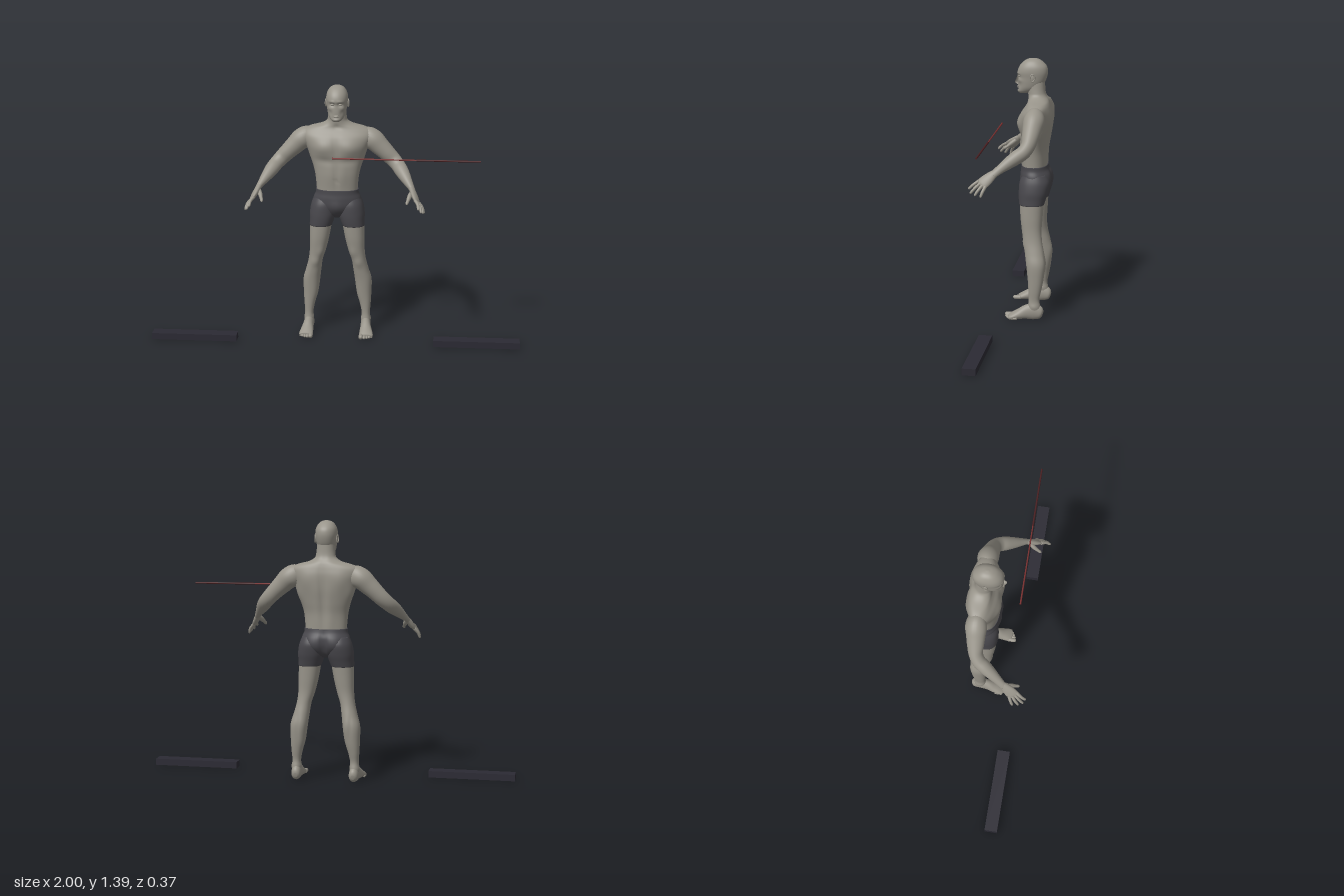
import * as THREE from 'three';

const paint = (name, color) => {
  const m = new THREE.MeshStandardMaterial({ color });
  m.name = name;
  return m;
};

// Catmull-Rom blend between the rows of a profile
function refine(rows, sub) {
  const out = [];
  for (let i = 0; i < rows.length - 1; i++) {
    const a = rows[Math.max(i - 1, 0)], b = rows[i], c = rows[i + 1], d = rows[Math.min(i + 2, rows.length - 1)];
    for (let k = 0; k < sub; k++) {
      const t = k / sub;
      out.push(b.map((_, j) => 0.5 * (2 * b[j] + (c[j] - a[j]) * t
        + (2 * a[j] - 5 * b[j] + 4 * c[j] - d[j]) * t * t + (3 * b[j] - a[j] - 3 * c[j] + d[j]) * t * t * t)));
    }
  }
  out.push(rows[rows.length - 1]);
  return out;
}

// Skin closed rings of n points, with both ends capped
function skinRings(rings) {
  const n = rings[0].length, pos = [], index = [];
  rings.forEach(r => r.forEach(p => pos.push(p.x, p.y, p.z)));
  for (let i = 0; i < rings.length - 1; i++) {
    for (let j = 0; j < n; j++) {
      const a = i * n + j, b = i * n + (j + 1) % n;
      index.push(a, b, a + n, b, b + n, a + n);
    }
  }
  [0, rings.length - 1].forEach((r, end) => {
    const c = new THREE.Vector3();
    rings[r].forEach(p => c.addScaledVector(p, 1 / n));
    const id = pos.length / 3;
    pos.push(c.x, c.y, c.z);
    for (let j = 0; j < n; j++) {
      const a = r * n + j, b = r * n + (j + 1) % n;
      if (end) index.push(a, b, id); else index.push(b, a, id);
    }
  });
  const g = new THREE.BufferGeometry();
  g.setAttribute('position', new THREE.Float32BufferAttribute(pos, 3));
  g.setIndex(index);
  g.computeVertexNormals();
  return g;
}

// Upright loft: rows are [y, centre x, half width, front z, back z]
function loft(rows, { n = 36, sub = 5, power = 0.9 } = {}) {
  const round = v => Math.sign(v) * Math.abs(v) ** power;
  return skinRings(refine(rows, sub).map(([y, cx, hw, zf, zb]) => Array.from({ length: n }, (_, j) => {
    const a = j / n * Math.PI * 2;
    return new THREE.Vector3(cx + hw * round(Math.sin(a)), y, (zf + zb) / 2 + (zf - zb) / 2 * round(Math.cos(a)));
  })));
}

// Limb along a path: rows are [x, y, z, radius along ref, radius across]
function limb(rows, ref, n = 20, sub = 4) {
  const rs = refine(rows, sub), up = new THREE.Vector3(...ref);
  const at = i => new THREE.Vector3(...rs[THREE.MathUtils.clamp(i, 0, rs.length - 1)].slice(0, 3));
  return skinRings(rs.map((r, i) => {
    const t = at(i + 1).sub(at(i - 1)).normalize();
    const u = up.clone().addScaledVector(t, -up.dot(t)).normalize(), v = t.clone().cross(u);
    return Array.from({ length: n }, (_, j) => {
      const a = j / n * Math.PI * 2;
      return at(i).addScaledVector(u, r[3] * Math.cos(a)).addScaledVector(v, r[4] * Math.sin(a));
    });
  }));
}

// Soft bumps mirrored in x: [x, y, z, rx, ry, rz, height along the normal]
function sculpt(g, bumps) {
  const p = g.attributes.position, q = g.attributes.normal;
  for (let i = 0; i < p.count; i++) {
    let h = 0;
    for (const [x, y, z, rx, ry, rz, k] of bumps) {
      h += k * Math.exp(-(((Math.abs(p.getX(i)) - x) / rx) ** 2) - ((p.getY(i) - y) / ry) ** 2 - ((p.getZ(i) - z) / rz) ** 2);
    }
    p.setXYZ(i, p.getX(i) + q.getX(i) * h, p.getY(i) + q.getY(i) * h, p.getZ(i) + q.getZ(i) * h);
  }
  g.computeVertexNormals();
  return g;
}

function flatSole(g) {
  const p = g.attributes.position;
  for (let i = 0; i < p.count; i++) p.setY(i, Math.max(0, p.getY(i)));
  g.computeVertexNormals();
  return g;
}

function mirror(g) {
  const m = g.clone().scale(-1, 1, 1), ix = m.index.array;
  for (let i = 0; i < ix.length; i += 3) [ix[i], ix[i + 1]] = [ix[i + 1], ix[i]];
  m.computeVertexNormals();
  return m;
}

const ball = (x, y, z, rx, ry, rz) => new THREE.SphereGeometry(1, 16, 12).scale(rx, ry, rz).translate(x, y, z);

export function createModel() {
  const model = new THREE.Group();
  model.name = 'athlete';
  const skin = paint('skin', 0x98948a), cloth = paint('shorts cloth', 0x48474c);
  const barPaint = paint('dark bar', 0x2b2a33), wood = paint('red wood', 0x7a3030), gripPaint = paint('dark grip', 0x4a2022);
  const add = (name, g, mat = skin) => {
    const m = new THREE.Mesh(g, mat);
    m.name = name;
    model.add(m);
  };
  const pair = (name, g, mat) => {
    add(name + 'Left', g, mat);
    add(name + 'Right', mirror(g), mat);
  };

  // Torso and neck, with chest, belly, shoulder blades and spine
  add('torso', sculpt(loft([
    [0.79, 0, 0.11, -0.022, -0.155], [0.83, 0, 0.111, -0.02, -0.155], [0.9, 0, 0.118, -0.014, -0.158],
    [0.96, 0, 0.132, -0.014, -0.17], [1.02, 0, 0.152, -0.01, -0.18], [1.07, 0, 0.172, -0.01, -0.183],
    [1.11, 0, 0.188, -0.022, -0.182], [1.14, 0, 0.185, -0.042, -0.176], [1.16, 0, 0.15, -0.052, -0.17],
    [1.176, 0, 0.09, -0.054, -0.163], [1.195, 0, 0.058, -0.053, -0.15], [1.22, 0, 0.05, -0.05, -0.143],
    [1.27, 0, 0.046, -0.045, -0.14]], { n: 64, sub: 6 }), [
    [0.07, 1.055, -0.01, 0.05, 0.04, 0.05, 0.012], [0, 1.06, -0.01, 0.014, 0.06, 0.04, -0.005],
    [0.06, 0.985, -0.01, 0.07, 0.02, 0.04, -0.006], [0, 0.89, -0.01, 0.008, 0.09, 0.03, -0.004],
    [0.035, 0.92, -0.01, 0.02, 0.07, 0.03, 0.003], [0, 0.875, -0.014, 0.007, 0.008, 0.03, -0.004],
    [0, 1.0, -0.18, 0.018, 0.15, 0.04, -0.014], [0.09, 1.08, -0.18, 0.04, 0.05, 0.04, 0.006],
    [0.035, 0.87, -0.16, 0.025, 0.07, 0.03, 0.004], [0.14, 1.0, -0.13, 0.03, 0.05, 0.04, 0.006],
    [0, 1.165, -0.05, 0.014, 0.014, 0.03, -0.006]]));

  // Head with sockets, brows, cheeks and mouth
  add('head', sculpt(loft([
    [1.205, 0, 0.02, -0.006, -0.05], [1.216, 0, 0.034, 0.002, -0.085], [1.235, 0, 0.045, 0.002, -0.115],
    [1.26, 0, 0.051, 0.002, -0.138], [1.29, 0, 0.055, 0.001, -0.151], [1.32, 0, 0.058, 0.004, -0.156],
    [1.348, 0, 0.054, -0.006, -0.15], [1.372, 0, 0.041, -0.027, -0.128], [1.385, 0, 0.024, -0.05, -0.106],
    [1.39, 0, 0.004, -0.072, -0.085]], { n: 72, sub: 6 }), [
    [0.021, 1.296, 0, 0.012, 0.009, 0.04, -0.01], [0.02, 1.312, 0, 0.016, 0.006, 0.03, 0.004],
    [0.034, 1.275, -0.01, 0.012, 0.01, 0.03, 0.003], [0.03, 1.25, -0.005, 0.012, 0.018, 0.03, -0.003],
    [0, 1.215, 0, 0.018, 0.009, 0.03, 0.003], [0, 1.226, 0, 0.016, 0.005, 0.03, -0.003]]));
  add('nose', loft([[1.308, 0, 0.006, 0.004, -0.02], [1.285, 0, 0.007, 0.01, -0.02],
    [1.262, 0, 0.012, 0.019, -0.02], [1.252, 0, 0.012, 0.011, -0.02], [1.249, 0, 0.005, 0.003, -0.02]], { n: 16, power: 1 }));
  add('upperLip', ball(0, 1.241, 0, 0.016, 0.0035, 0.007));
  add('lowerLip', ball(0, 1.234, 0, 0.014, 0.004, 0.007));
  pair('eye', ball(0.021, 1.296, -0.009, 0.01, 0.006, 0.007));
  pair('ear', ball(0.055, 1.292, -0.082, 0.006, 0.021, 0.013).rotateY(0));
  pair('earRim', new THREE.TorusGeometry(0.012, 0.003, 8, 20).scale(1, 1.55, 1).rotateY(Math.PI / 2 + 0.25).translate(0.06, 1.293, -0.083));

  // Shorts
  add('shortsSeat', sculpt(loft([
    [0.665, 0, 0.02, -0.055, -0.12], [0.69, 0, 0.09, -0.032, -0.155], [0.73, 0, 0.13, -0.016, -0.176],
    [0.77, 0, 0.129, -0.014, -0.176], [0.8, 0, 0.117, -0.017, -0.164], [0.822, 0, 0.115, -0.018, -0.159]], { n: 56 }), [
    [0.065, 0.735, -0.175, 0.045, 0.05, 0.04, 0.009], [0, 0.73, -0.175, 0.014, 0.06, 0.05, -0.016],
    [0, 0.725, -0.015, 0.03, 0.035, 0.03, 0.008]]));
  model.children[model.children.length - 1].material = cloth;
  pair('shortsLeg', loft([
    [0.62, 0.089, 0.061, -0.018, -0.151], [0.65, 0.083, 0.066, -0.015, -0.16], [0.69, 0.077, 0.072, -0.014, -0.172],
    [0.74, 0.072, 0.068, -0.018, -0.178], [0.78, 0.066, 0.058, -0.035, -0.16]]), cloth);

  // Legs: thigh, knee, calf and ankle
  pair('leg', sculpt(loft([
    [0.04, 0.157, 0.024, -0.07, -0.146], [0.075, 0.158, 0.024, -0.076, -0.142], [0.11, 0.157, 0.023, -0.08, -0.137],
    [0.16, 0.154, 0.03, -0.078, -0.147], [0.22, 0.147, 0.04, -0.073, -0.158], [0.3, 0.142, 0.046, -0.064, -0.166],
    [0.36, 0.13, 0.042, -0.055, -0.157], [0.42, 0.118, 0.039, -0.046, -0.145], [0.48, 0.105, 0.045, -0.036, -0.14],
    [0.55, 0.096, 0.053, -0.026, -0.144], [0.64, 0.087, 0.06, -0.022, -0.15]]), [
    [0.118, 0.41, -0.046, 0.02, 0.025, 0.03, 0.006], [0.09, 0.47, -0.045, 0.02, 0.03, 0.03, 0.005],
    [0.12, 0.3, -0.15, 0.018, 0.05, 0.03, 0.005], [0.142, 0.3, -0.166, 0.008, 0.06, 0.03, -0.003],
    [0.137, 0.075, -0.105, 0.02, 0.014, 0.02, 0.004], [0.18, 0.07, -0.11, 0.02, 0.014, 0.02, 0.004]]));

  // Feet and toes
  pair('foot', flatSole(limb([
    [0.156, 0.03, -0.156, 0.012, 0.01], [0.156, 0.033, -0.145, 0.032, 0.023], [0.157, 0.042, -0.11, 0.046, 0.027],
    [0.159, 0.038, -0.07, 0.04, 0.028], [0.162, 0.026, -0.03, 0.028, 0.034], [0.165, 0.016, 0.005, 0.018, 0.038],
    [0.166, 0.012, 0.024, 0.011, 0.034]], [0, 1, 0], 28)));
  [[0.138, 0.052, 0.012], [0.156, 0.048, 0.009], [0.17, 0.042, 0.008], [0.183, 0.034, 0.008], [0.195, 0.024, 0.007]]
    .forEach(([x, z, r], i) => pair('toe' + (i + 1), flatSole(limb([
      [x, r + 0.002, z - 0.045, r, r], [x, r + 0.001, z - 0.015, r, r], [x, r, z - 0.005, r * 0.85, r * 0.85],
      [x, r * 0.8, z, r * 0.2, r * 0.2]], [0, 1, 0], 12))));

  // Arms from the shoulder to the wrist
  pair('arm', limb([
    [0.12, 1.105, -0.112, 0.035, 0.03], [0.155, 1.103, -0.112, 0.056, 0.048], [0.192, 1.088, -0.11, 0.057, 0.056],
    [0.228, 1.055, -0.106, 0.051, 0.05], [0.265, 1.02, -0.102, 0.045, 0.044], [0.3, 0.985, -0.096, 0.041, 0.037],
    [0.328, 0.957, -0.076, 0.038, 0.036], [0.347, 0.936, -0.045, 0.037, 0.036], [0.368, 0.911, -0.008, 0.031, 0.031],
    [0.39, 0.884, 0.03, 0.022, 0.024], [0.405, 0.865, 0.055, 0.016, 0.021], [0.412, 0.854, 0.068, 0.014, 0.02]],
    [0.82, 0.52, 0.07], 28));

  // Hands
  const back = [0.82, 0.52, 0.07];
  pair('palm', limb([
    [0.402, 0.869, 0.05, 0.014, 0.018], [0.41, 0.856, 0.068, 0.015, 0.023], [0.423, 0.833, 0.095, 0.015, 0.031],
    [0.435, 0.813, 0.119, 0.011, 0.032], [0.439, 0.805, 0.127, 0.006, 0.028]], back, 20));
  [[0.445, 0.785, 0.188], [0.46, 0.766, 0.177], [0.47, 0.757, 0.153], [0.474, 0.75, 0.122]].forEach(([x, y, z], i) => {
    const k = (i - 1.5) * 0.0155, b = [0.434 + 0.35 * k, 0.814 - 0.45 * k, 0.118 - 0.82 * k];
    const mix = (t, lift) => [x, y, z].map((v, j) => b[j] + (v - b[j]) * t + back[j] * lift);
    pair('finger' + (i + 1), limb([
      [...mix(0, 0), 0.009, 0.009], [...mix(0.5, 0.006), 0.008, 0.008], [...mix(0.9, 0.001), 0.0065, 0.0065],
      [...mix(1, 0), 0.002, 0.002]], back, 12));
  });
  pair('thumb', limb([
    [0.408, 0.853, 0.075, 0.011, 0.012], [0.396, 0.834, 0.1, 0.012, 0.013], [0.388, 0.818, 0.122, 0.009, 0.009],
    [0.383, 0.806, 0.139, 0.007, 0.008], [0.381, 0.801, 0.146, 0.002, 0.002]], back, 12));

  // Thin tapered stick across the chest, with a darker grip
  const rod = (x0, x1, r0, r1) => new THREE.CylinderGeometry(r0, r1, x1 - x0, 12)
    .rotateZ(Math.PI / 2).translate((x0 + x1) / 2, 0, 0).rotateZ(-0.005).rotateY(0.006).translate(0, 1.03, 0.091);
  add('stickShaft', rod(-0.015, 0.43, 0.0045, 0.0035), wood);
  add('stickGrip', rod(0.43, 0.765, 0.005, 0.0045), gripPaint);

  // Ground bars on both sides
  pair('groundBar', new THREE.BoxGeometry(0.465, 0.035, 0.07).translate(0.7675, 0.0175, 0.087), barPaint);

  return model;
}
